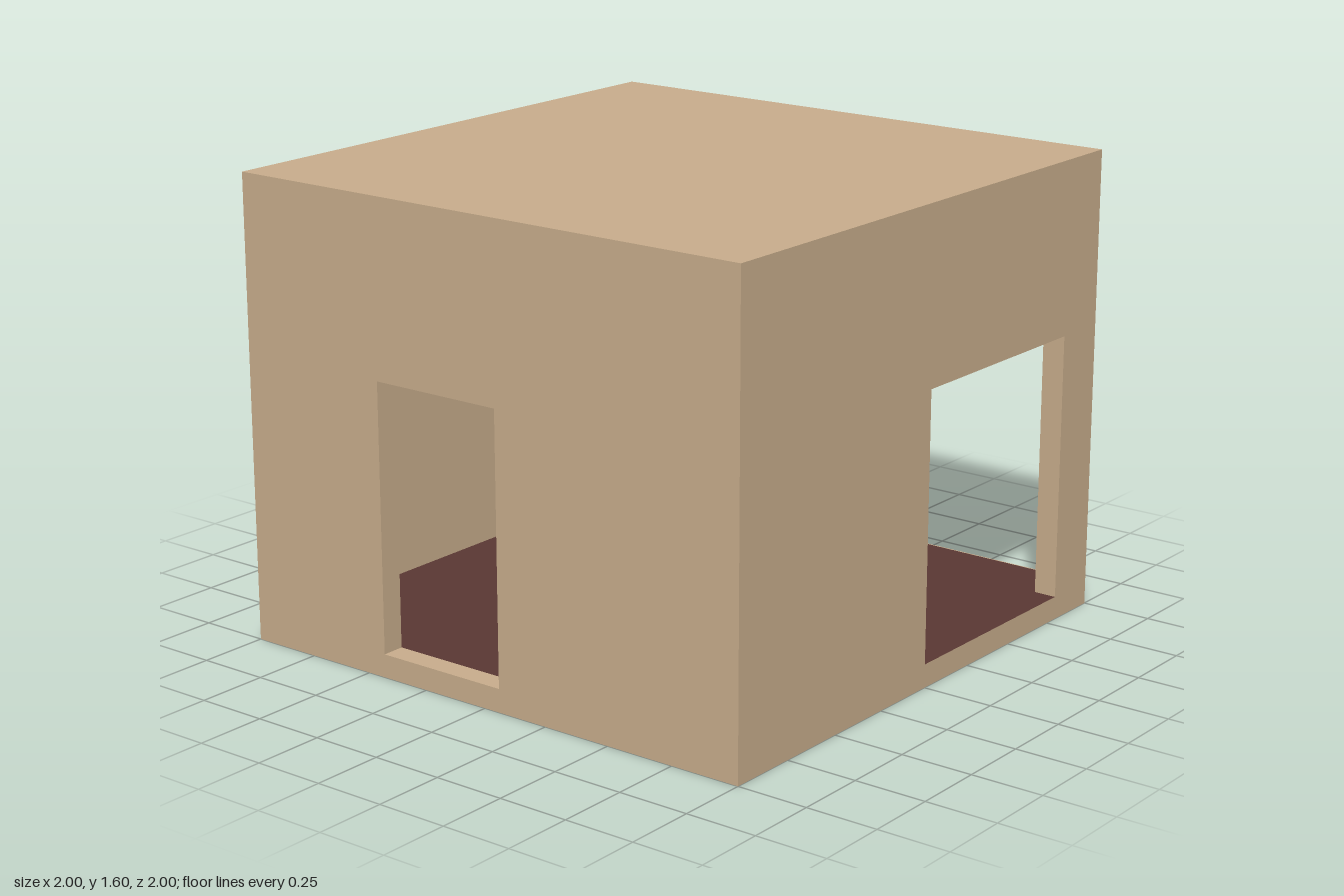
import * as THREE from 'three';

const T = 0.08;      // wall, floor and roof thickness
const H = 1.6;       // overall height
const CAP = 0.005;   // painted plate on the open back

function material(name, color) {
  const m = new THREE.MeshStandardMaterial({ color });
  m.name = name;
  return m;
}

// Closed rectangle as a list of points
function rect(x0, y0, x1, y1) {
  return [[x0, y0], [x1, y0], [x1, y1], [x0, y1]].map(([x, y]) => new THREE.Vector2(x, y));
}

// Upright panel with an optional rectangular opening
function panel(outer, hole, depth) {
  const shape = new THREE.Shape(outer);
  if (hole) shape.holes.push(new THREE.Path(hole));
  return new THREE.ExtrudeGeometry(shape, { depth, bevelEnabled: false });
}

export function createModel() {
  const tan = material('tan plaster', 0xc8ad8c);
  const red = material('dark red floor', 0x5a3833);
  const blue = material('blue edge', 0x445e84);

  const model = new THREE.Group();
  model.name = 'room';
  function add(name, geometry, mat, x = 0, y = 0, z = 0) {
    const mesh = new THREE.Mesh(geometry, mat);
    mesh.name = name;
    mesh.position.set(x, y, z);
    model.add(mesh);
    return mesh;
  }

  const back = -1 + CAP;
  const inner = 1 - T;
  const depth = inner - back;
  const midZ = (inner + back) / 2;

  // Floor slab with a red upper face, and the flat roof
  add('floor', new THREE.BoxGeometry(2, T, depth), [tan, tan, red, tan, tan, tan], 0, T / 2, midZ);
  add('roof', new THREE.BoxGeometry(2, T, depth), tan, 0, H - T / 2, midZ);

  // Front wall with the doorway
  add('frontWall', panel(rect(-1, 0, 1, H), rect(-0.43, T, 0.06, 1), T), tan, 0, 0, inner);

  // Solid wall on the model's right
  add('rightWall', new THREE.BoxGeometry(T, H - 2 * T, depth), tan, -1 + T / 2, H / 2, midZ);

  // Wall on the model's left with a wide opening down to the floor
  const outline = [
    [-inner, T], [0, T], [0, 1], [0.8, 1], [0.8, T], [-back, T], [-back, H - T], [-inner, H - T],
  ].map(([x, y]) => new THREE.Vector2(x, y));
  const leftWall = add('leftWall', panel(outline, null, T), tan, inner);
  leftWall.rotation.y = Math.PI / 2;

  // Blue edge around the open back
  add('backEdge', panel(rect(-1, 0, 1, H), rect(-inner, T, inner, H - T), CAP), [blue, tan], 0, 0, -1);

  return model;
}
